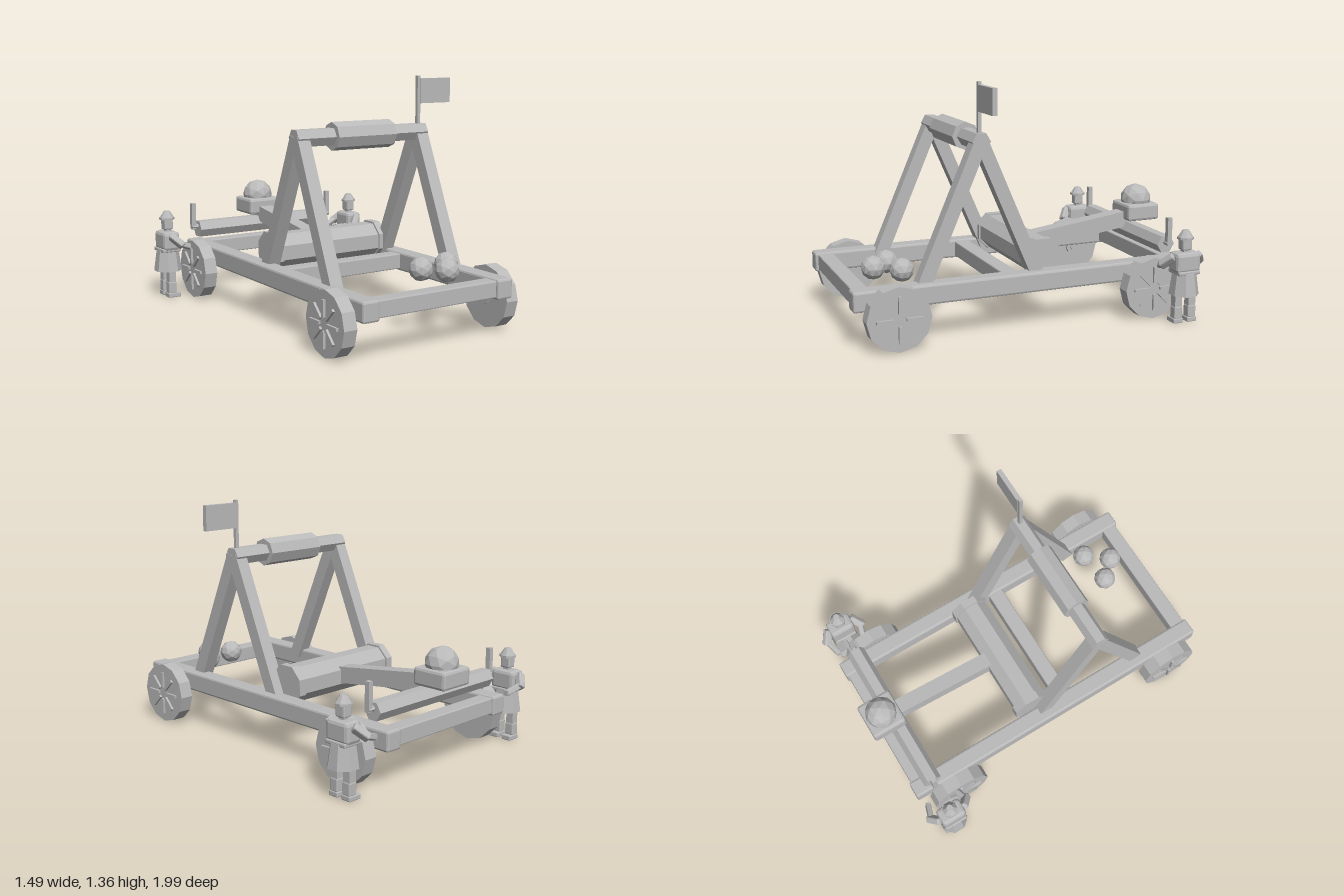
import * as THREE from 'three';
import { RoundedBoxGeometry } from 'three/addons/geometries/RoundedBoxGeometry.js';

const grey = new THREE.MeshStandardMaterial({ color: 0xbababa, flatShading: true });
grey.name = 'plain grey';

function add(parent, name, geometry, x = 0, y = 0, z = 0) {
  const mesh = new THREE.Mesh(geometry, grey);
  mesh.name = name;
  mesh.position.set(x, y, z);
  parent.add(mesh);
  return mesh;
}

const box = (w, h, d) => new THREE.BoxGeometry(w, h, d);
const bevelBox = (w, h, d, r = 0.012) => new RoundedBoxGeometry(w, h, d, 1, r);
// Prism lying along x
const roller = (r, length, sides, turn = 0) =>
  new THREE.CylinderGeometry(r, r, length, sides).rotateY(turn).rotateZ(Math.PI / 2);

// Square or round bar between two points, long axis along local y
function bar(parent, name, a, b, geometryFor) {
  const from = new THREE.Vector3(...a), to = new THREE.Vector3(...b);
  const dir = to.clone().sub(from);
  const mesh = add(parent, name, geometryFor(dir.length()));
  mesh.position.copy(from).add(to).multiplyScalar(0.5);
  mesh.quaternion.setFromUnitVectors(new THREE.Vector3(0, 1, 0), dir.normalize());
  return mesh;
}

function createWheel(side, z) {
  const wheel = new THREE.Group();
  wheel.name = 'wheel';
  add(wheel, 'wheelDisc', roller(0.175, 0.077, 12));
  add(wheel, 'innerHub', roller(0.045, 0.02, 8), -0.044);
  add(wheel, 'axleEnd', roller(0.02, 0.03, 6), -0.05);
  for (let i = 0; i < 8; i++) {
    const spoke = box(0.02, 0.09, 0.016).translate(0.042, 0.08, 0).rotateX(i * Math.PI / 4);
    add(wheel, 'spoke', spoke);
  }
  wheel.position.set(side * 0.52, 0.175, z);
  if (side < 0) wheel.rotation.y = Math.PI;
  return wheel;
}

// Crew member facing local +x
function createCrew() {
  const crew = new THREE.Group();
  crew.name = 'crewMember';
  for (const s of [-1, 1]) {
    add(crew, 'boot', bevelBox(0.08, 0.028, 0.058, 0.005), 0.012, 0.014, s * 0.043);
    add(crew, 'shin', bevelBox(0.05, 0.07, 0.05, 0.006), 0, 0.06, s * 0.043);
    add(crew, 'thigh', box(0.044, 0.1, 0.044), 0, 0.14, s * 0.043);
    const shoulder = [0, 0.37, s * 0.085], elbow = [0.035, 0.335, s * 0.115], hand = [0.115, 0.305, s * 0.09];
    bar(crew, 'upperArm', shoulder, elbow, l => bevelBox(0.045, l + 0.04, 0.04, 0.008));
    bar(crew, 'forearm', elbow, hand, l => bevelBox(0.034, l + 0.02, 0.03, 0.006));
    add(crew, 'hand', box(0.026, 0.03, 0.026), 0.12, 0.303, s * 0.088);
  }
  add(crew, 'skirt', new THREE.CylinderGeometry(0.066, 0.084, 0.13, 8).rotateY(Math.PI / 8), 0, 0.225, 0);
  add(crew, 'belt', bevelBox(0.118, 0.022, 0.135, 0.006), 0, 0.29, 0);
  add(crew, 'torso', bevelBox(0.105, 0.115, 0.15, 0.02), 0, 0.345, 0);
  add(crew, 'neck', box(0.035, 0.03, 0.035), 0, 0.41, 0);
  add(crew, 'head', bevelBox(0.056, 0.07, 0.06, 0.008), 0, 0.448, 0);
  add(crew, 'helmetBrim', new THREE.CylinderGeometry(0.047, 0.047, 0.012, 8).rotateY(Math.PI / 8), 0, 0.48, 0);
  add(crew, 'helmetDome', new THREE.CylinderGeometry(0.018, 0.044, 0.04, 8).rotateY(Math.PI / 8), 0, 0.505, 0);
  return crew;
}

export function createModel() {
  const model = new THREE.Group();
  model.name = 'catapult';

  // Chassis
  for (const s of [-1, 1]) add(model, 'sideRail', bevelBox(0.1, 0.11, 1.95), s * 0.428, 0.263, 0.022);
  for (const z of [0.935, 0.095, -0.895]) add(model, 'crossBeam', bevelBox(0.78, 0.09, 0.09, 0.006), 0, 0.265, z);
  for (const s of [-1, 1]) for (const z of [0.778, -0.705]) model.add(createWheel(s, z));

  // A-frames and padded top beam
  for (const s of [-1, 1]) {
    for (const z of [0.61, -0.055]) {
      bar(model, 'frameLeg', [s * 0.392, 0.28, z], [s * 0.392, 1.045, 0.278], l => box(0.075, l, 0.075));
    }
  }
  add(model, 'topBeam', roller(0.052, 0.855, 6), 0, 1.042, 0.277);
  add(model, 'stopPad', roller(0.078, 0.38, 8), 0, 1.042, 0.277);

  // Torsion drum with end collars
  add(model, 'drum', roller(0.106, 0.7, 8, Math.PI / 8), 0, 0.366, -0.106);
  for (const s of [-1, 1]) add(model, 'drumCollar', roller(0.117, 0.045, 8, Math.PI / 8), s * 0.35, 0.366, -0.106);

  // Throwing arm, cup and boulder
  bar(model, 'throwingArm', [0, 0.365, -0.1], [0, 0.465, -0.86], l => box(0.088, l, 0.094));
  add(model, 'cup', bevelBox(0.215, 0.1, 0.208, 0.016), 0, 0.502, -0.893);
  add(model, 'boulder', new THREE.IcosahedronGeometry(0.092, 1), 0, 0.57, -0.893);

  // Windlass at the back with upright handles
  add(model, 'windlass', roller(0.054, 0.92, 6), 0, 0.395, -0.833);
  for (const s of [-1, 1]) {
    add(model, 'windlassPin', roller(0.018, 0.05, 6), s * 0.475, 0.41, -0.833);
    add(model, 'windlassHandle', box(0.028, 0.158, 0.028), s * 0.489, 0.477, -0.833);
  }

  // Spare stones
  for (const [x, z] of [[0.09, 0.71], [0.285, 0.68], [0.185, 0.81]]) {
    add(model, 'stone', new THREE.IcosahedronGeometry(0.066, 1), x, 0.36, z);
  }

  // Flag
  add(model, 'flagPole', box(0.02, 0.29, 0.02), 0.392, 1.21, 0.277);
  add(model, 'flag', box(0.21, 0.14, 0.027), 0.507, 1.27, 0.277);

  // Crew on both sides, facing inward
  for (const s of [-1, 1]) {
    const crew = createCrew();
    crew.position.set(s * 0.665, 0, -0.832);
    if (s > 0) crew.rotation.y = Math.PI;
    model.add(crew);
  }
  return model;
}
